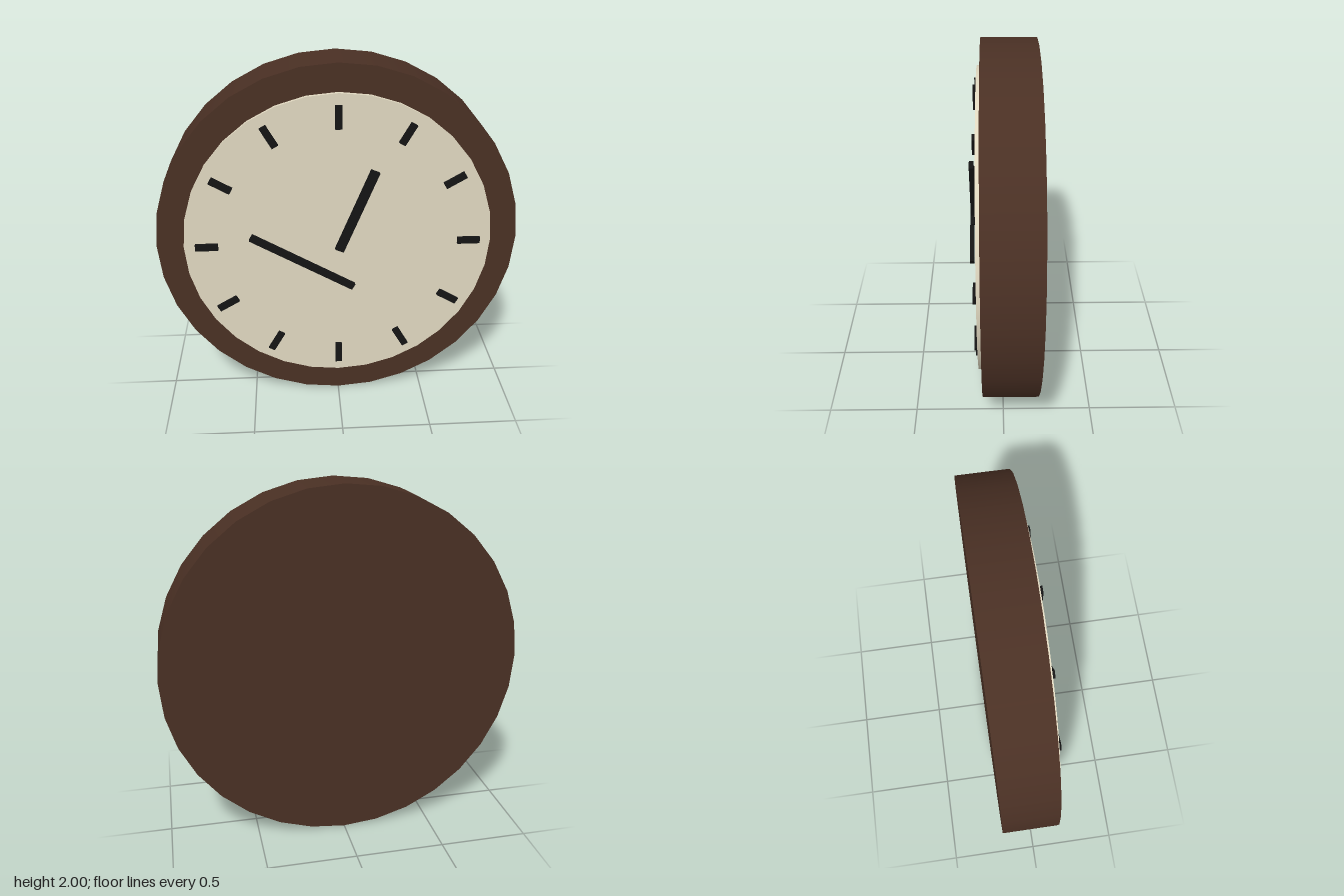
import * as THREE from 'three';

const wood = new THREE.MeshStandardMaterial({ color: 0x4a3024 });
const cream = new THREE.MeshStandardMaterial({ color: 0xe0d8c0 });
const black = new THREE.MeshStandardMaterial({ color: 0x141414 });

export function createModel() {
  const clock = new THREE.Group();
  clock.name = 'wallClock';

  // Disc facing +z, spanning z0 to z1
  const disc = (name, radius, z0, z1, material) => {
    const geometry = new THREE.CylinderGeometry(radius, radius, z1 - z0, 32).rotateX(Math.PI / 2);
    const mesh = new THREE.Mesh(geometry, material);
    mesh.name = name;
    mesh.position.set(0, 1, (z0 + z1) / 2);
    clock.add(mesh);
  };

  // Flat bar centred on (x, y), turned clockwise from upright by the given degrees
  const bar = (name, width, length, x, y, z0, z1, degrees) => {
    const mesh = new THREE.Mesh(new THREE.BoxGeometry(width, length, z1 - z0), black);
    mesh.name = name;
    mesh.position.set(x, y, (z0 + z1) / 2);
    mesh.rotation.z = -THREE.MathUtils.degToRad(degrees);
    clock.add(mesh);
  };

  // Case and dial
  disc('case', 1, -0.187, 0.113, wood);
  disc('dial', 0.85, 0.085, 0.135, cream);

  // Twelve hour markers
  for (let i = 0; i < 12; i++) {
    const a = (i * Math.PI) / 6;
    bar(`hourMarker${i + 1}`, 0.0375, 0.125, 0.725 * Math.sin(a), 1 + 0.725 * Math.cos(a), 0.128, 0.153, i * 30);
  }

  // Hands
  bar('hourHand', 0.05, 0.5, 0.098, 1.2, 0.151, 0.176, 22.5);
  bar('minuteHand', 0.0375, 0.65, -0.2, 0.905, 0.162, 0.187, -60);

  return clock;
}
